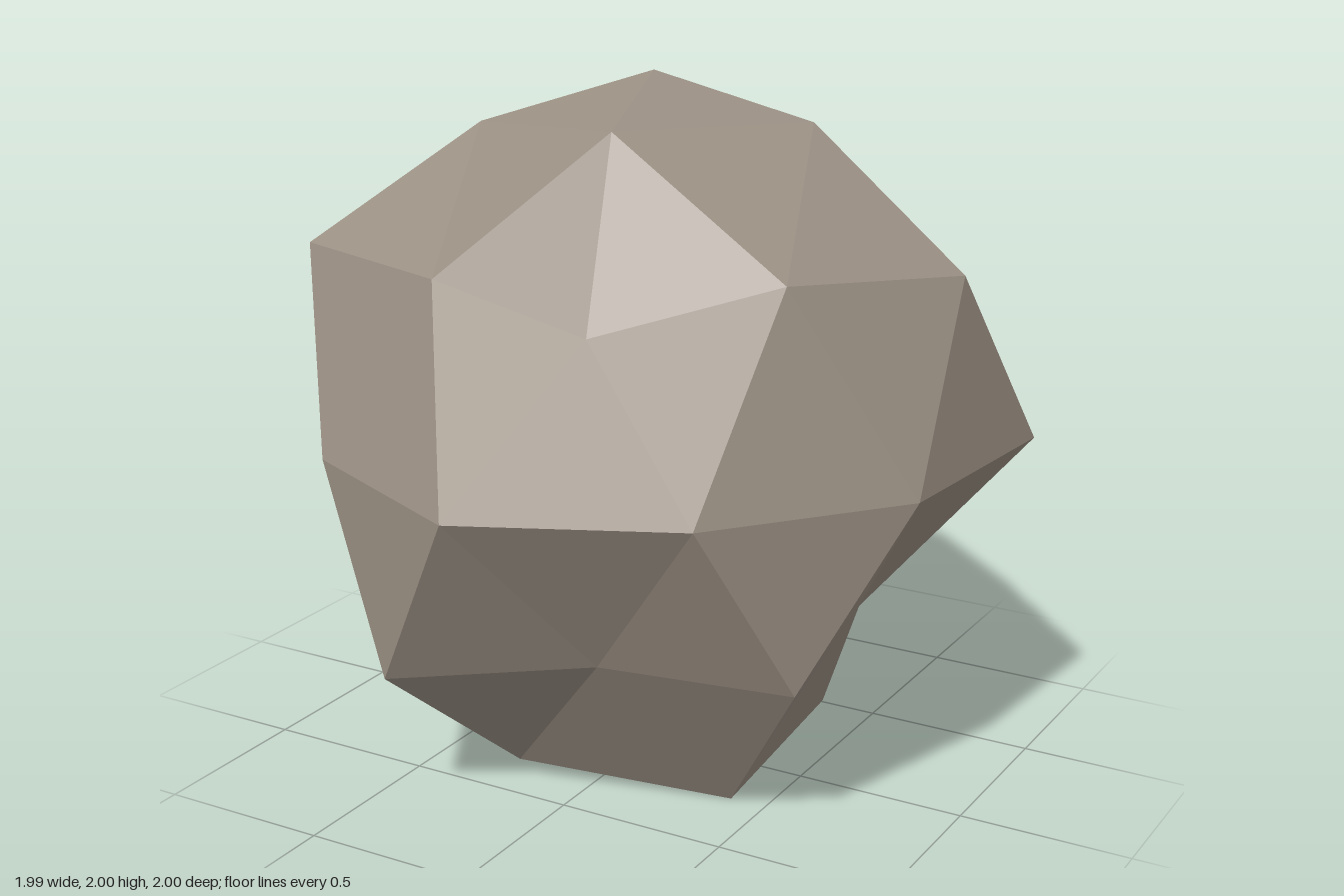
import * as THREE from 'three';

const stone = new THREE.MeshStandardMaterial({ color: 0x9a8f83, flatShading: true });
stone.name = 'warm grey stone';

// One ring of a once-subdivided icosahedron; each bulge pushes its vertex in or out.
function ring(radius, height, startDeg, bulges) {
  return bulges.map((s, i) => {
    const a = THREE.MathUtils.degToRad(startDeg + (i * 360) / bulges.length);
    return new THREE.Vector3(radius * Math.cos(a), 1.12 * height, 1.02 * radius * Math.sin(a)).multiplyScalar(s);
  });
}

function boulderGeometry() {
  // Rings from the top pole down to the bottom pole
  const [top] = ring(0, 1, 0, [0.903]);
  const cap = ring(0.5257, 0.8507, 0, [0.952, 0.974, 0.92, 0.8, 0.798]);
  const upper = ring(0.8944, 0.4472, 0, [1.07, 0.895, 1.083, 1.08, 0.9]);
  const upperMid = ring(0.8507, 0.5257, 36, [0.985, 0.918, 0.876, 1.05, 0.8]);
  const belt = ring(1, 0, 18, [1.04, 0.998, 1.074, 0.993, 0.987, 0.99, 1.043, 0.885, 0.998, 1.1]);
  const lowerMid = ring(0.8507, -0.5257, 0, [0.794, 0.84, 0.797, 0.915, 1.038]);
  const lower = ring(0.8944, -0.4472, 36, [1.035, 1.092, 0.825, 0.85, 0.784]);
  const base = ring(0.5257, -0.8507, 36, [1.04, 0.985, 0.905, 0.815, 0.988]);
  const [bottom] = ring(0, -1, 0, [0.823]);

  const points = [];
  const normal = new THREE.Vector3();
  // Adds a triangle, turned so that it faces away from the centre
  const face = (a, b, c) => {
    normal.subVectors(b, a).cross(c.clone().sub(a));
    points.push(...(normal.dot(a) > 0 ? [a, b, c] : [a, c, b]));
  };

  for (let k = 0; k < 5; k++) {
    const n = (k + 1) % 5;
    const e0 = belt[(2 * k + 9) % 10], e1 = belt[2 * k], e2 = belt[2 * k + 1];
    // Upper half of this sector
    face(top, cap[k], cap[n]);
    face(cap[k], upper[k], upperMid[k]);
    face(cap[k], upperMid[k], cap[n]);
    face(cap[n], upperMid[k], upper[n]);
    face(upper[k], e0, e1);
    face(upper[k], e1, upperMid[k]);
    face(upperMid[k], e1, e2);
    face(upperMid[k], e2, upper[n]);
    // Lower half of this sector
    face(lowerMid[k], e0, e1);
    face(lowerMid[k], e1, lower[k]);
    face(lower[k], e1, e2);
    face(lower[k], e2, lowerMid[n]);
    face(base[k], lowerMid[k], lower[k]);
    face(base[k], lower[k], lowerMid[n]);
    face(base[k], lowerMid[n], base[n]);
    face(bottom, base[k], base[n]);
  }

  const geometry = new THREE.BufferGeometry().setFromPoints(points);
  geometry.computeVertexNormals();
  return geometry;
}

export function createModel() {
  const group = new THREE.Group();
  group.name = 'rock';
  const boulder = new THREE.Mesh(boulderGeometry(), stone);
  boulder.name = 'boulder';
  boulder.position.set(-0.05, 0.99, -0.1);
  group.add(boulder);
  return group;
}
